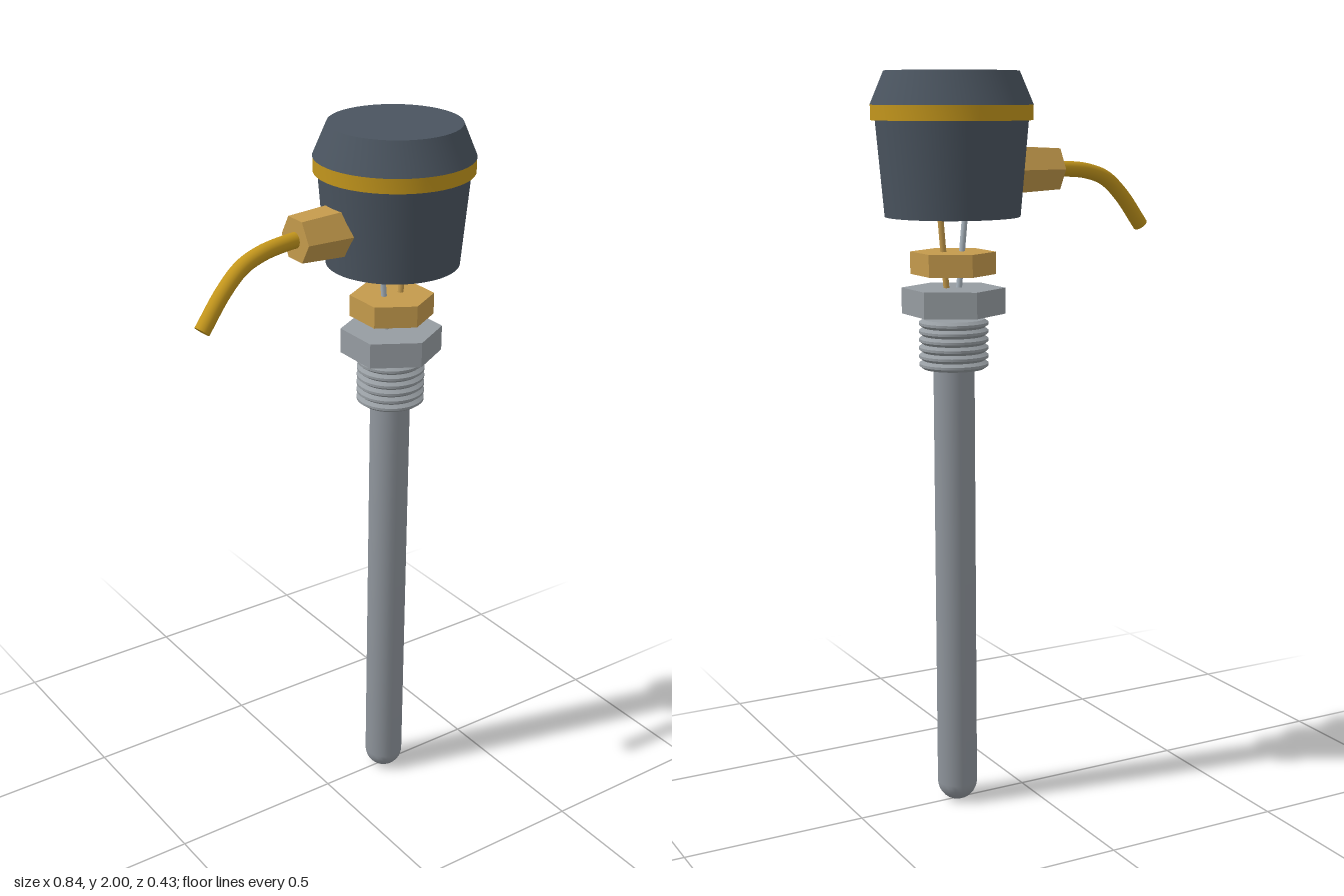
import * as THREE from 'three';
import { toCreasedNormals } from 'three/addons/utils/BufferGeometryUtils.js';

const AXIS_X = 0.207; // the probe's vertical axis

function material(name, color) {
  const m = new THREE.MeshStandardMaterial({ color });
  m.name = name;
  return m;
}

export function createModel() {
  const model = new THREE.Group();
  model.name = 'temperatureProbe';

  const slate = material('slate', 0x4a545f);
  const gold = material('gold', 0xc2951c);
  const brass = material('brass', 0xc49a4c);
  const steel = material('steel', 0x90969d);
  const nutSteel = material('nutSteel', 0x969ca1);
  const paleWire = material('paleWire', 0xa9b4bd);

  function add(parent, name, geometry, mat) {
    const mesh = new THREE.Mesh(geometry, mat);
    mesh.name = name;
    parent.add(mesh);
    return mesh;
  }

  // Turned part from [radius, height] pairs, listed bottom to top
  function turned(points, segments = 48) {
    const profile = points.map(([r, y]) => new THREE.Vector2(r, y));
    return toCreasedNormals(new THREE.LatheGeometry(profile, segments), 0.45);
  }

  function hexNut(parent, name, radius, y0, y1, mat) {
    const geometry = toCreasedNormals(new THREE.CylinderGeometry(radius, radius, y1 - y0, 6), 0.5);
    add(parent, name, geometry, mat).position.y = (y0 + y1) / 2;
  }

  // Everything on the vertical axis
  const probe = new THREE.Group();
  probe.name = 'probe';
  probe.position.x = AXIS_X;
  model.add(probe);

  // Rod with rounded tip
  const rod = [];
  for (let i = 0; i <= 8; i++) {
    const a = (i / 8) * Math.PI / 2;
    rod.push([0.055 * Math.sin(a), 0.055 * (1 - Math.cos(a))]);
  }
  rod.push([0.055, 1.23], [0, 1.23]);
  add(probe, 'rod', turned(rod, 32), steel);

  // Threaded collar
  const ridges = 6, y0 = 1.225, pitch = 0.022;
  const thread = [[0, y0], [0.082, y0]];
  for (let i = 0; i < ridges; i++) {
    thread.push([0.0925, y0 + (i + 0.35) * pitch], [0.0925, y0 + (i + 0.65) * pitch]);
    thread.push([0.082, y0 + (i + 1) * pitch]);
  }
  thread.push([0, y0 + ridges * pitch]);
  add(probe, 'thread', turned(thread), nutSteel);

  // Hexagonal nuts
  hexNut(probe, 'steelNut', 0.1375, 1.371, 1.44, nutSteel);
  hexNut(probe, 'brassNut', 0.1135, 1.476, 1.535, brass);

  // Lead wires running from the thread into the head
  function wire(name, xLow, xHigh, mat) {
    const path = new THREE.LineCurve3(new THREE.Vector3(xLow, 1.34, 0), new THREE.Vector3(xHigh, 1.66, 0));
    add(probe, name, new THREE.TubeGeometry(path, 1, 0.008, 10), mat);
  }
  wire('leftWire', 0.012, 0.039, brass);
  wire('rightWire', -0.007, -0.039, paleWire);

  // Head: tapered body, band and bevelled cap
  add(probe, 'headBody', turned([[0, 1.627], [0.178, 1.627], [0.2, 1.88], [0, 1.88]]), slate);
  add(probe, 'headBand', turned([[0, 1.875], [0.2115, 1.875], [0.2115, 1.915], [0, 1.915]]), gold);
  add(probe, 'headCap', turned([[0, 1.914], [0.2125, 1.914], [0.176, 2], [0, 2]]), slate);

  // Side outlet: slightly tapered hexagonal gland
  const gland = toCreasedNormals(new THREE.CylinderGeometry(0.0625, 0.0705, 0.14, 6), 0.5);
  gland.rotateZ(Math.PI / 2);
  add(model, 'gland', gland, brass).position.set(-0.03, 1.745, 0);

  // Drooping cable
  const cablePath = new THREE.CatmullRomCurve3([
    [-0.08, 1.744, -0.003], [-0.14, 1.743, 0.006], [-0.21, 1.736, 0.017],
    [-0.275, 1.715, 0.027], [-0.335, 1.667, 0.037], [-0.407, 1.581, 0.048],
  ].map(p => new THREE.Vector3(...p)));
  add(model, 'cable', new THREE.TubeGeometry(cablePath, 32, 0.021, 20), gold);

  // Flat cable end
  const end = add(model, 'cableEnd', new THREE.CircleGeometry(0.021, 20), gold);
  end.position.copy(cablePath.getPoint(1));
  end.quaternion.setFromUnitVectors(new THREE.Vector3(0, 0, 1), cablePath.getTangent(1));

  return model;
}
